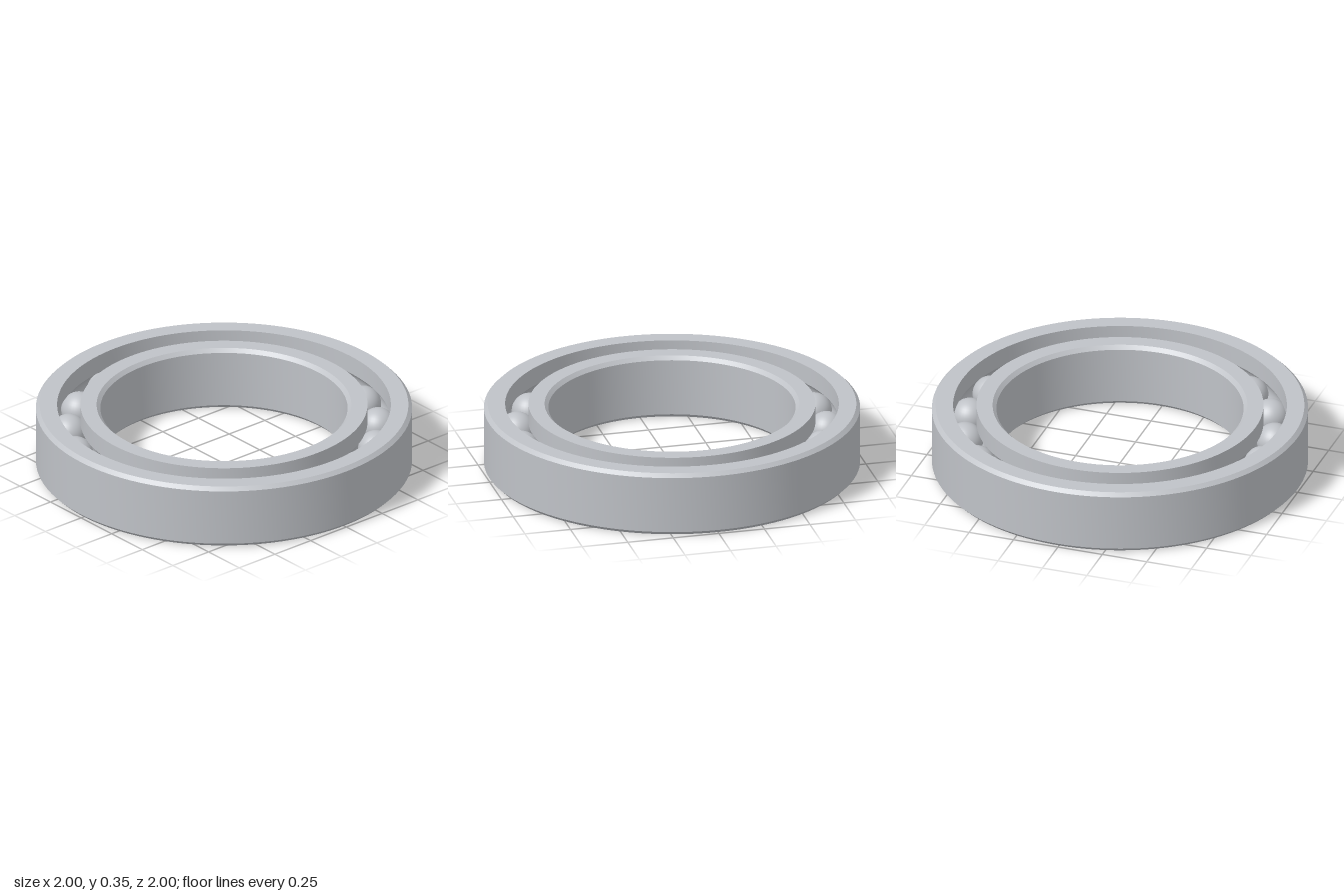
import * as THREE from 'three';
import { toCreasedNormals } from 'three/addons/utils/BufferGeometryUtils.js';

const HEIGHT = 0.35, MID = HEIGHT / 2, CHAMFER = 0.02;
const PITCH = 0.825, BALL_RADIUS = 0.096, BALL_COUNT = 19;

// Groove arc around the ball circle, in (radius, y), from angle a to angle b
function groove(a, b, steps = 14) {
  return Array.from({ length: steps + 1 }, (_, i) => {
    const t = a + ((b - a) * i) / steps;
    return [PITCH + BALL_RADIUS * Math.cos(t), MID + BALL_RADIUS * Math.sin(t)];
  });
}

// Closed counter-clockwise profile turned about y, with sharp chamfer edges
function ring(name, profile, material) {
  const points = [...profile, profile[0]].map(([r, y]) => new THREE.Vector2(r, y));
  const geometry = toCreasedNormals(new THREE.LatheGeometry(points, 128), 0.5);
  const mesh = new THREE.Mesh(geometry, material);
  mesh.name = name;
  return mesh;
}

export function createModel() {
  const model = new THREE.Group();
  model.name = 'ballBearing';
  const steel = new THREE.MeshStandardMaterial({ color: 0xbfc2c7 });
  steel.name = 'steel';

  // Outer ring: chamfered outside, ball groove inside
  const outerLip = 0.887, outerRadius = 1;
  const outerAngle = Math.acos((outerLip - PITCH) / BALL_RADIUS);
  model.add(ring('outerRing', [
    [outerLip, 0],
    [outerRadius - CHAMFER, 0],
    [outerRadius, CHAMFER],
    [outerRadius, HEIGHT - CHAMFER],
    [outerRadius - CHAMFER, HEIGHT],
    [outerLip, HEIGHT],
    ...groove(outerAngle, -outerAngle),
  ], steel));

  // Inner ring: ball groove outside, chamfered bore
  const innerLip = 0.763, bore = 0.657;
  const innerAngle = Math.acos((innerLip - PITCH) / BALL_RADIUS);
  model.add(ring('innerRing', [
    [bore + CHAMFER, 0],
    [innerLip, 0],
    ...groove(2 * Math.PI - innerAngle, innerAngle),
    [innerLip, HEIGHT],
    [bore + CHAMFER, HEIGHT],
    [bore, HEIGHT - CHAMFER],
    [bore, CHAMFER],
  ], steel));

  // Balls, evenly spaced on the pitch circle
  const balls = new THREE.Group();
  balls.name = 'balls';
  const ballGeometry = new THREE.SphereGeometry(BALL_RADIUS, 32, 20);
  for (let i = 0; i < BALL_COUNT; i++) {
    const angle = (i / BALL_COUNT) * Math.PI * 2;
    const ball = new THREE.Mesh(ballGeometry, steel);
    ball.name = `ball${i + 1}`;
    ball.position.set(PITCH * Math.cos(angle), MID, PITCH * Math.sin(angle));
    balls.add(ball);
  }
  model.add(balls);
  return model;
}
